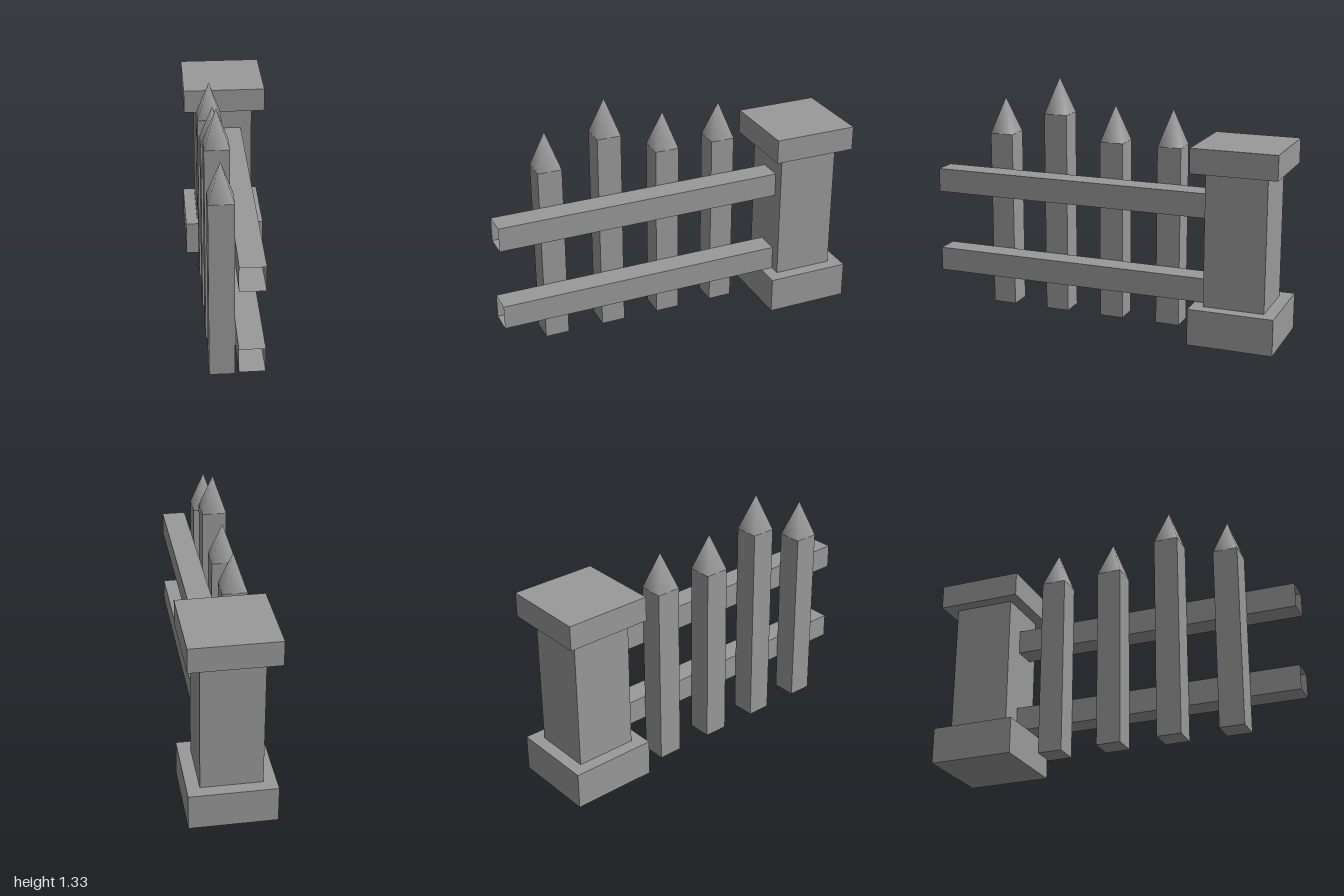
import * as THREE from 'three';
import { mergeVertices } from 'three/addons/utils/BufferGeometryUtils.js';

const material = new THREE.MeshStandardMaterial({ color: 0x999999 });
const openMaterial = new THREE.MeshStandardMaterial({ color: 0x999999, side: THREE.DoubleSide });
const T = 2 / 15; // timber thickness

// Box given by its lower and upper corners
function box(name, [x0, y0, z0], [x1, y1, z1], mat = material) {
  const mesh = new THREE.Mesh(new THREE.BoxGeometry(x1 - x0, y1 - y0, z1 - z0), mat);
  mesh.position.set((x0 + x1) / 2, (y0 + y1) / 2, (z0 + z1) / 2);
  mesh.name = name;
  return mesh;
}

// Hollow rail: a box without its two end faces
function rail(name, y) {
  const mesh = box(name, [-T / 4, y, -0.6], [T * 0.75, y + T, 1], openMaterial);
  const sides = Array.from(mesh.geometry.index.array).slice(0, 24);
  mesh.geometry.clearGroups();
  mesh.geometry.setIndex(sides);
  return mesh;
}

// Four-sided point with normals smoothed across its edges
function pointGeometry(height) {
  const cone = new THREE.ConeGeometry(T / Math.SQRT2, height, 4, 1, true);
  cone.rotateY(Math.PI / 4);
  cone.translate(0, height / 2, 0);
  cone.deleteAttribute('normal');
  cone.deleteAttribute('uv');
  const smooth = mergeVertices(cone, 1e-4);
  smooth.computeVertexNormals();
  return smooth;
}

export function createModel() {
  const model = new THREE.Group();
  model.name = 'fence';

  // Stone post with plinth and cap
  const post = new THREE.Group();
  post.name = 'post';
  post.add(
    box('postBase', [-0.232, 0, -1], [0.232, 0.2, -0.535]),
    box('postShaft', [-0.163, 0.2, -0.933], [0.163, 0.933, -0.6]),
    box('postCap', [-0.232, 0.933, -1], [0.232, 1.067, -0.535])
  );
  model.add(post);

  // Rails running forward from the post
  model.add(rail('lowerRail', 0.2), rail('upperRail', 0.667));

  // Pickets behind the rails, one taller than the rest
  const tip = pointGeometry(0.2);
  for (const [z, height] of [[0.667, 1], [0.333, 1.133], [0, 1], [-0.333, 1]]) {
    const picket = new THREE.Group();
    picket.name = 'picket';
    picket.add(box('picketShaft', [-T / 2, 0, -T / 2], [T / 2, height, T / 2]));
    const point = new THREE.Mesh(tip, openMaterial);
    point.name = 'picketPoint';
    point.position.y = height;
    picket.add(point);
    picket.position.set(-0.1, 0, z);
    model.add(picket);
  }

  return model;
}
